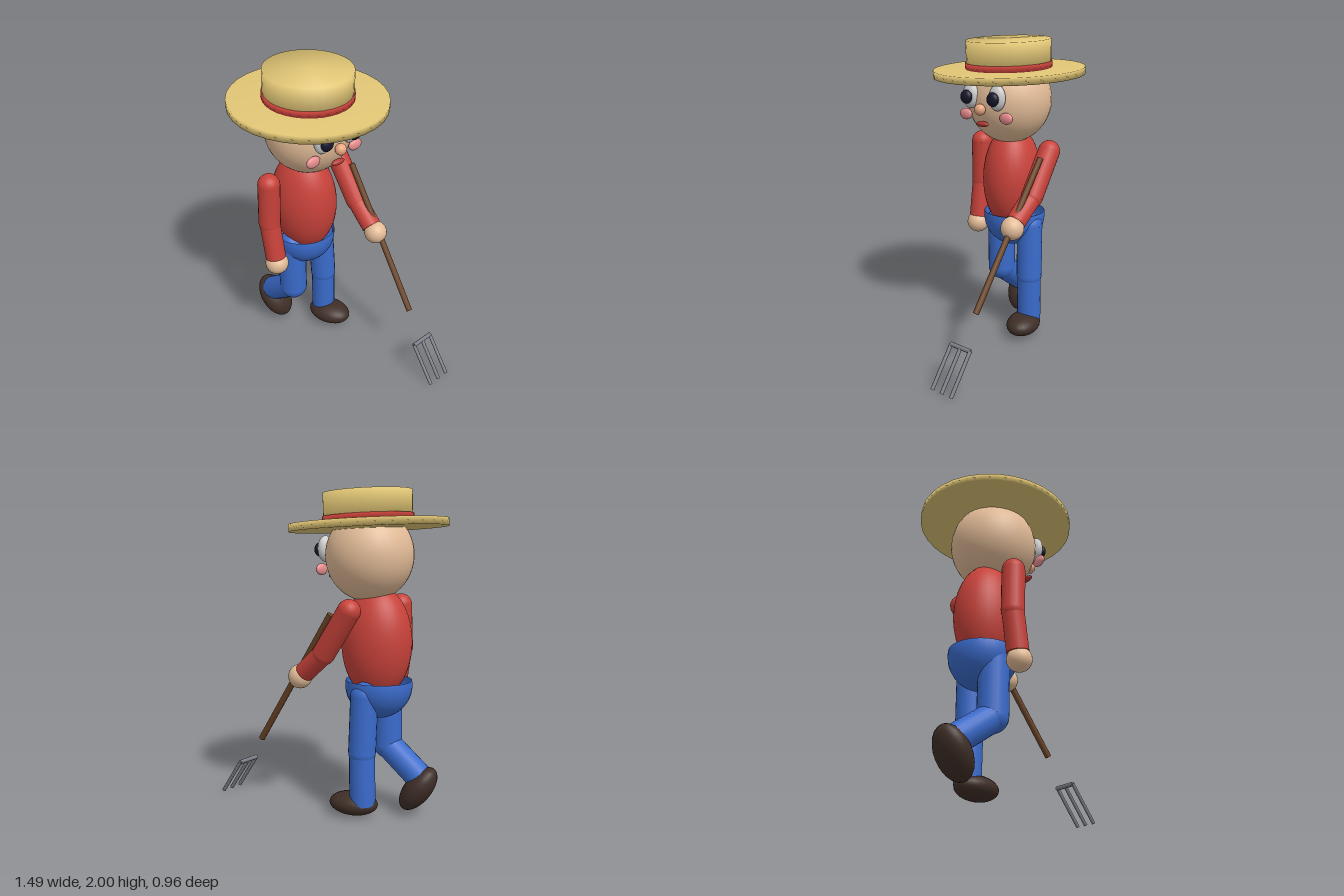
import * as THREE from 'three';

const mat = (color) => new THREE.MeshStandardMaterial({ color, side: THREE.DoubleSide });
const skin = mat(0xe3bc98), red = mat(0xc8423a), blue = mat(0x3a6bcb), leather = mat(0x3f2e27);
const straw = mat(0xe0c575), wood = mat(0x6b4426), metal = mat(0x7d8089), white = mat(0xdedede);
const dark = mat(0x17162c), pink = mat(0xea8f90), noseTone = mat(0xe8a67f), lip = mat(0xb03a35);

function add(parent, name, geometry, material, pos = [0, 0, 0]) {
  const mesh = new THREE.Mesh(geometry, material);
  mesh.name = name;
  mesh.position.set(...pos);
  parent.add(mesh);
  return mesh;
}

// Ellipsoid
function ball(parent, name, material, pos, radii, seg = 24) {
  const mesh = add(parent, name, new THREE.SphereGeometry(1, seg, Math.round(seg * 0.75)), material, pos);
  mesh.scale.set(...radii);
  return mesh;
}

// Straight round bar between two points
function bar(parent, name, material, a, b, ra, rb = ra, seg = 20) {
  const from = new THREE.Vector3(...a), to = new THREE.Vector3(...b);
  const dir = to.clone().sub(from);
  const mesh = add(parent, name, new THREE.CylinderGeometry(rb, ra, dir.length(), seg), material);
  mesh.position.copy(from).lerp(to, 0.5);
  mesh.quaternion.setFromUnitVectors(new THREE.Vector3(0, 1, 0), dir.normalize());
  return mesh;
}

// Two-part limb with round joints
function limb(parent, name, material, [top, joint, end], rTop, rLow) {
  const g = new THREE.Group();
  g.name = name;
  parent.add(g);
  ball(g, name + 'TopJoint', material, top, [rTop, rTop, rTop]);
  bar(g, name + 'Upper', material, top, joint, rTop);
  ball(g, name + 'MiddleJoint', material, joint, [rTop, rTop, rTop]);
  bar(g, name + 'Lower', material, joint, end, rLow);
  return g;
}

// Solid disc with softly shaded rim
function disc(parent, name, material, r, y0, y1) {
  const pts = [[0, y0], [r, y0], [r, y1], [0, y1]].map(([x, y]) => new THREE.Vector2(x, y));
  return add(parent, name, new THREE.LatheGeometry(pts, 32), material);
}

export function createModel() {
  const model = new THREE.Group();
  model.name = 'farmer';

  // Body
  ball(model, 'torso', red, [-0.33, 1.08, 0], [0.22, 0.35, 0.19], 32);
  const hips = add(model, 'hips',
    new THREE.SphereGeometry(1, 32, 16, 0, Math.PI * 2, Math.PI * 0.45, Math.PI * 0.55), blue, [-0.35, 0.82, -0.01]);
  hips.scale.set(0.207, 0.205, 0.205);

  // Arms and hands
  limb(model, 'leftArm', red, [[-0.408, 1.295, 0.255], [-0.418, 1.02, 0.26], [-0.382, 0.77, 0.268]], 0.07, 0.066);
  ball(model, 'leftHand', skin, [-0.372, 0.725, 0.272], [0.075, 0.072, 0.075]);
  limb(model, 'rightArm', red, [[-0.25, 1.295, -0.283], [-0.075, 1.03, -0.236], [0.07, 0.9, -0.185]], 0.07, 0.064);
  ball(model, 'rightHand', skin, [0.105, 0.87, -0.178], [0.075, 0.075, 0.073]);

  // Legs and shoes
  limb(model, 'leftLeg', blue, [[-0.375, 0.77, 0.095], [-0.38, 0.42, 0.095], [-0.63, 0.23, 0.02]], 0.092, 0.085);
  ball(model, 'leftShoe', leather, [-0.605, 0.175, 0.015], [0.165, 0.083, 0.112]).rotation.z = -0.95;
  limb(model, 'rightLeg', blue, [[-0.3, 0.77, -0.14], [-0.29, 0.42, -0.145], [-0.295, 0.09, -0.145]], 0.085, 0.08);
  ball(model, 'rightShoe', leather, [-0.232, 0.083, -0.13], [0.155, 0.072, 0.108]);

  // Head, turned a little to its left
  const head = new THREE.Group();
  head.name = 'head';
  head.position.set(-0.28, 1.61, 0);
  head.rotation.y = -0.29;
  model.add(head);
  ball(head, 'skull', skin, [0, 0, 0], [0.27, 0.28, 0.27], 32);
  ball(head, 'nose', noseTone, [0.295, -0.038, 0], [0.034, 0.036, 0.036]);
  ball(head, 'mouth', lip, [0.27, -0.13, 0], [0.02, 0.018, 0.048]);
  for (const s of [-1, 1]) {
    ball(head, 'eye', white, [0.257, 0.038, s * 0.107], [0.04, 0.08, 0.058]);
    ball(head, 'pupil', dark, [0.3, 0.033, s * 0.107], [0.028, 0.043, 0.043]);
    ball(head, 'cheek', pink, [0.24, -0.085, s * 0.164], [0.02, 0.036, 0.05]);
  }

  // Straw hat, tipped forward
  const hat = new THREE.Group();
  hat.name = 'hat';
  hat.position.set(0.012, 0.178, 0);
  hat.rotation.z = -0.05;
  head.add(hat);
  disc(hat, 'brim', straw, 0.483, -0.023, 0.023);
  disc(hat, 'crown', straw, 0.27, 0, 0.2);
  disc(hat, 'band', red, 0.277, 0.015, 0.062);

  // Tool handle, held in the right hand
  bar(model, 'handle', wood, [0.427, 0.415, -0.077], [-0.13, 1.27, -0.268], 0.02, 0.02, 10);

  // Fork head: crossbar and three tines
  const fork = new THREE.Group();
  fork.name = 'fork';
  model.add(fork);
  bar(fork, 'crossbar', metal, [0.53, 0.243, 0.04], [0.573, 0.243, -0.11], 0.014, 0.014, 8);
  for (const t of [0, 0.5, 1]) {
    const x = 0.53 + t * 0.043, z = 0.037 - t * 0.144;
    bar(fork, 'tine', metal, [x, 0.245, z], [x + 0.16, 0.012, z + 0.049], 0.012, 0.012, 8);
  }
  return model;
}
